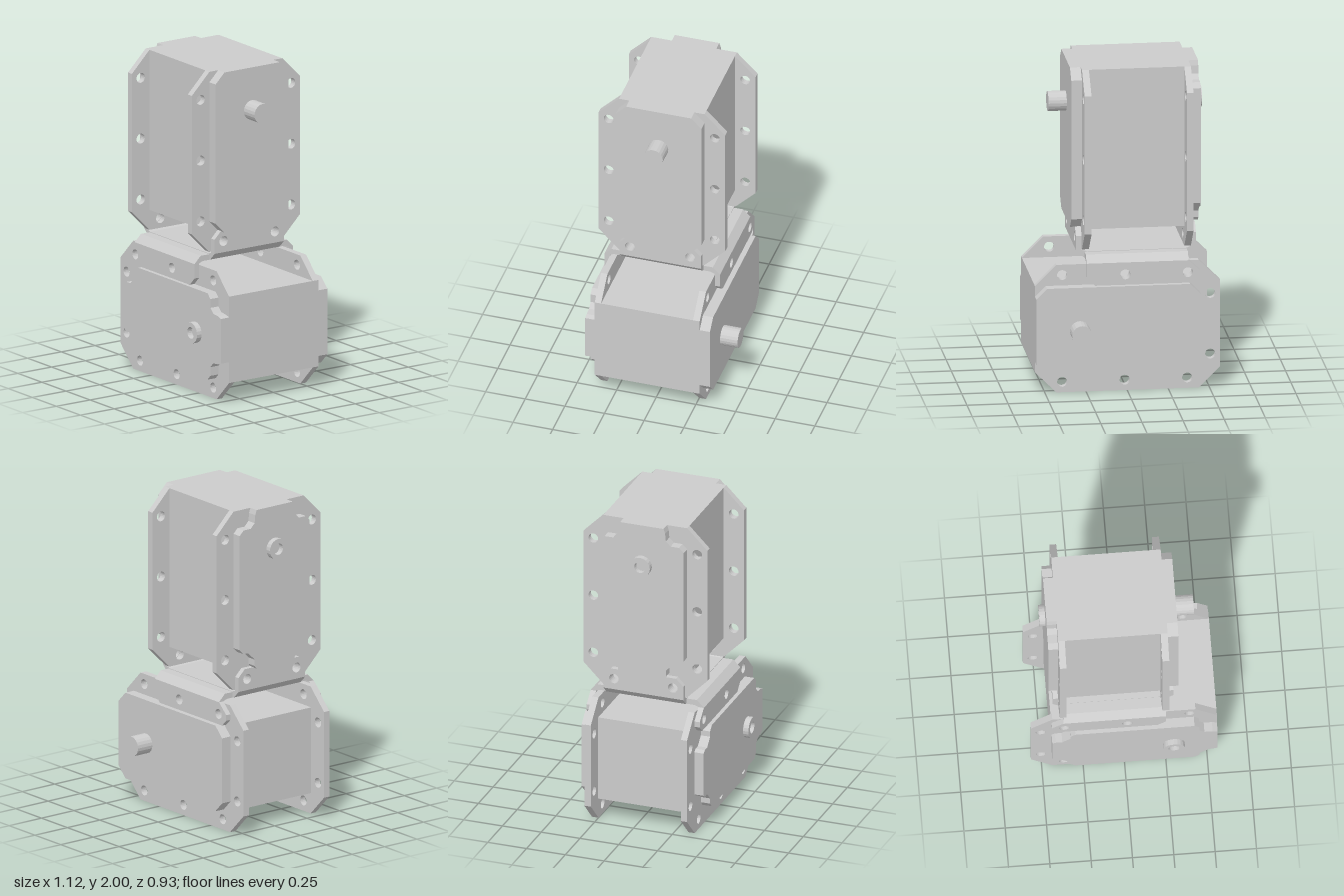
import * as THREE from 'three';

const mat = new THREE.MeshStandardMaterial({ color: 0xcccccc, flatShading: true });

function add(parent, name, geo) {
  const mesh = new THREE.Mesh(geo, mat);
  mesh.name = name;
  parent.add(mesh);
  return mesh;
}

// Flat plate from an outline and round holes [x, y, r], spanning z0..z1
function plate(outline, holes, z0, z1) {
  const shape = new THREE.Shape(outline.map(([x, y]) => new THREE.Vector2(x, y)));
  for (const [x, y, r] of holes) {
    shape.holes.push(new THREE.Path().absarc(x, y, r, 0, Math.PI * 2, true));
  }
  const geo = new THREE.ExtrudeGeometry(shape, { depth: z1 - z0, bevelEnabled: false, curveSegments: 10 });
  return geo.translate(0, 0, z0);
}

// Rectangle with its four corners cut off
const chamfered = (x0, x1, y0, y1, c) => [
  [x0 + c, y0], [x1 - c, y0], [x1, y0 + c], [x1, y1 - c],
  [x1 - c, y1], [x0 + c, y1], [x0, y1 - c], [x0, y0 + c],
];

const HOLE = 0.031;

// Servo lying on its long side: long axis x, shaft axis z, height centred on y = 0
function createServo(name) {
  const servo = new THREE.Group();
  servo.name = name;

  add(servo, 'body', new THREE.BoxGeometry(1.0, 0.54, 0.58).translate(0.06, 0, 0.04));

  // Mounting flanges with bolt holes
  const bolts = [];
  for (const s of [-1, 1]) {
    for (const x of [-0.365, 0.015, 0.395]) bolts.push([x, s * 0.335, HOLE]);
    bolts.push([-0.505, s * 0.19, HOLE]);
  }
  const flange = chamfered(-0.565, 0.56, -0.4, 0.4, 0.13);
  add(servo, 'frontFlange', plate(flange, bolts, 0.33, 0.37));
  add(servo, 'backFlange', plate(flange, bolts, -0.292, -0.25));

  // Front cover with notched corners, mirrored top to bottom
  const upper = [
    [0.56, 0.14], [0.53, 0.15], [0.48, 0.155], [0.45, 0.185], [0.45, 0.24], [0.42, 0.27],
    [-0.3, 0.27], [-0.33, 0.24], [-0.33, 0.205], [-0.38, 0.155], [-0.42, 0.155], [-0.44, 0.14],
  ];
  const lower = upper.map(([x, y]) => [x, -y]).reverse();
  add(servo, 'frontCover', plate([...upper, ...lower], [], 0.37, 0.43));

  add(servo, 'backCover', plate(chamfered(-0.44, 0.56, -0.27, 0.27, 0.065), [], -0.357, -0.292));

  // Output shaft behind, bearing ring in front
  add(servo, 'shaft', new THREE.CylinderGeometry(0.061, 0.061, 0.12, 20)
    .rotateX(Math.PI / 2).translate(0.295, 0, -0.408));
  const ring = new THREE.Shape().absarc(0, 0, 0.065, 0, Math.PI * 2);
  ring.holes.push(new THREE.Path().absarc(0, 0, 0.036, 0, Math.PI * 2, true));
  add(servo, 'bearingRing', new THREE.ExtrudeGeometry(ring, { depth: 0.035, bevelEnabled: false, curveSegments: 10 })
    .translate(0.295, 0, 0.43));
  return servo;
}

// U bracket: bridge on top at y = 0, two arms hanging down at +z and -z
function createBracket(name, x0, x1, arm, holes) {
  const bracket = new THREE.Group();
  bracket.name = name;
  const half = [[0.33, -0.045], [0.365, -0.045], [0.32, 0]];
  const inner = [0.305, -0.035];
  const profile = [
    ...half,
    ...half.map(([s, y]) => [-s, y]).reverse(),
    [-inner[0], inner[1]], inner,
  ];
  add(bracket, 'bridge', plate(profile, [], x0, x1).rotateY(Math.PI / 2));
  add(bracket, 'frontArm', plate(arm, holes, 0.33, 0.365));
  add(bracket, 'backArm', plate(arm, holes, -0.365, -0.33));
  return bracket;
}

export function createModel() {
  const model = new THREE.Group();
  model.name = 'servoPair';

  const lowerServo = createServo('lowerServo');
  lowerServo.position.y = 0.4;
  model.add(lowerServo);

  // Upright servo: long axis turned to y, front cover turned to -x
  const upperServo = createServo('upperServo');
  const turn = new THREE.Matrix4().makeBasis(
    new THREE.Vector3(0, 1, 0), new THREE.Vector3(0, 0, -1), new THREE.Vector3(-1, 0, 0));
  upperServo.quaternion.setFromRotationMatrix(turn);
  upperServo.position.set(-0.025, 1.44, 0.037);
  model.add(upperServo);

  // Bracket bolted to the top of the lower flanges
  const lowerBracket = createBracket('lowerBracket', -0.37, 0.25, [
    [-0.4, -0.185], [0.2, -0.185], [0.25, -0.135], [0.25, -0.045],
    [-0.37, -0.045], [-0.44, -0.11], [-0.44, -0.145],
  ], [[-0.365, -0.12, HOLE], [0.015, -0.12, HOLE]]);
  lowerBracket.position.set(0, 0.855, 0.04);
  model.add(lowerBracket);

  // Inverted bracket bolted to the bottom of the upper flanges
  const upperBracket = createBracket('upperBracket', -0.257, 0.257, [
    [-0.21, -0.18], [0.21, -0.18], [0.257, -0.133], [0.257, -0.045],
    [-0.257, -0.045], [-0.257, -0.133],
  ], [[-0.19, -0.115, HOLE], [0.19, -0.115, HOLE]]);
  const flip = new THREE.Matrix4().makeBasis(
    new THREE.Vector3(0, 0, 1), new THREE.Vector3(0, -1, 0), new THREE.Vector3(1, 0, 0));
  upperBracket.quaternion.setFromRotationMatrix(flip);
  upperBracket.position.set(-0.0625, 0.823, 0.037);
  model.add(upperBracket);

  return model;
}
